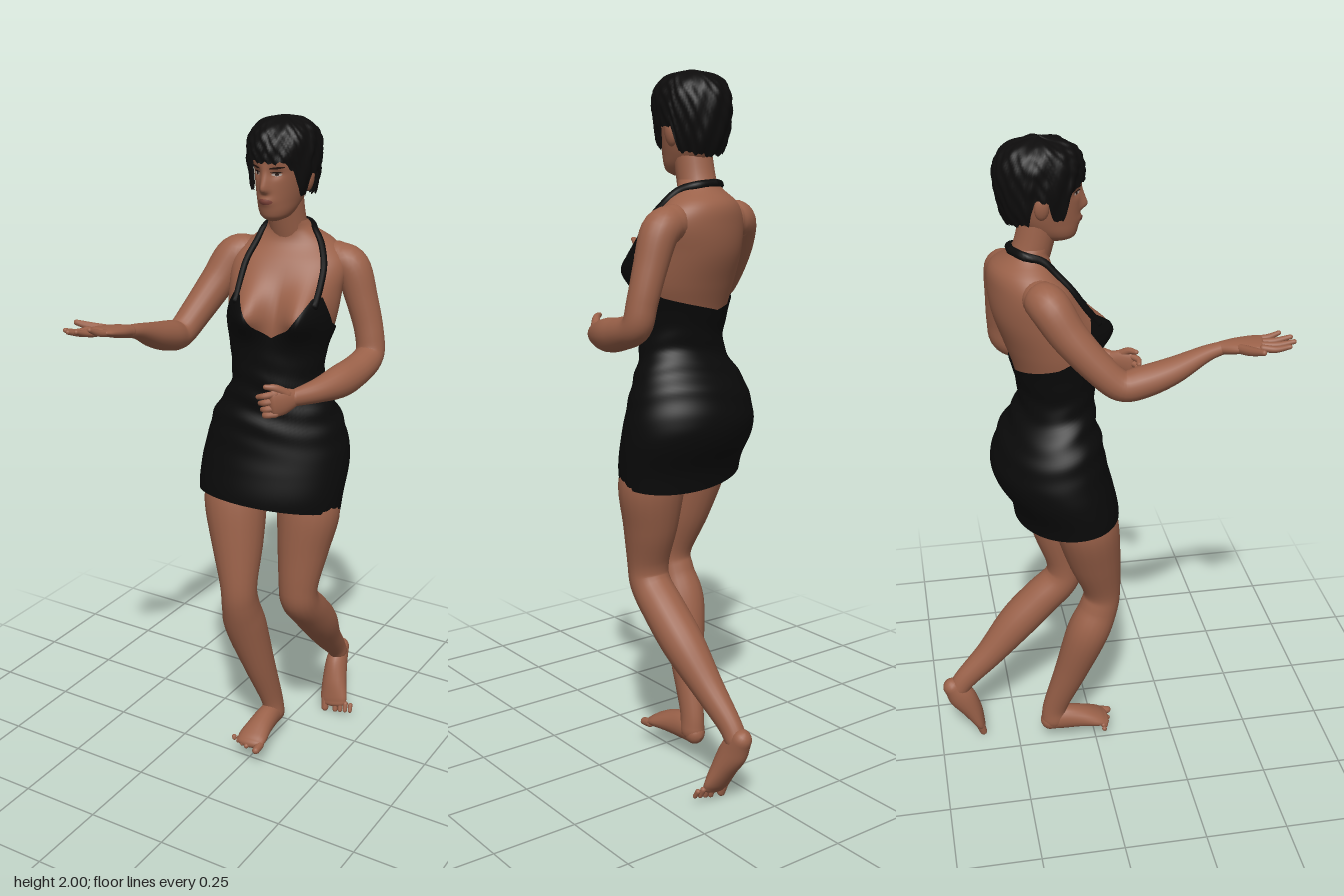
import * as THREE from 'three';

const mat = (name, color, side = THREE.FrontSide) => {
  const m = new THREE.MeshStandardMaterial({ color, side });
  m.name = name;
  return m;
};

// Smooth interpolation of table rows; column 0 is the key.
function sample(rows, t) {
  const n = rows.length;
  let i = 0;
  while (i < n - 2 && t > rows[i + 1][0]) i++;
  const p = rows[i], q = rows[i + 1], h = q[0] - p[0];
  const s = THREE.MathUtils.clamp((t - p[0]) / h, 0, 1);
  const slope = (k, c) => {
    const a = rows[Math.max(k - 1, 0)], b = rows[Math.min(k + 1, n - 1)];
    return (b[c] - a[c]) / (b[0] - a[0]);
  };
  return p.map((_, c) =>
    (2 * s ** 3 - 3 * s * s + 1) * p[c] + (s ** 3 - 2 * s * s + s) * h * slope(i, c) +
    (3 * s * s - 2 * s ** 3) * q[c] + (s ** 3 - s * s) * h * slope(i + 1, c));
}

// Straight-line interpolation of [key, value] pairs.
function line(pairs, t) {
  let i = 0;
  while (i < pairs.length - 2 && t > pairs[i + 1][0]) i++;
  const [a, b] = [pairs[i], pairs[i + 1]];
  return a[1] + (b[1] - a[1]) * THREE.MathUtils.clamp((t - a[0]) / (b[0] - a[0]), 0, 1);
}

// Closed-around surface: fn(angle, v) gives a point.
function loft(fn, around, along) {
  const pos = [], idx = [];
  for (let i = 0; i <= along; i++) {
    for (let j = 0; j < around; j++) {
      const p = fn((j / around) * Math.PI * 2, i / along);
      pos.push(p.x, p.y, p.z);
      if (i === along) continue;
      const a = i * around + j, b = i * around + (j + 1) % around;
      idx.push(a, b, b + around, a, b + around, a + around);
    }
  }
  const g = new THREE.BufferGeometry();
  g.setAttribute('position', new THREE.Float32BufferAttribute(pos, 3));
  g.setIndex(idx);
  g.computeVertexNormals();
  return g;
}

// Round-ended limb through [x, y, z, halfWidth, halfDepth]; ref is the width direction.
function limb(points, ref = [1, 0, 0], around = 20, steps = 6) {
  const rows = points.map((p, i) => [i, p[0], p[1], p[2], p[3], p[4] ?? p[3]]);
  const last = rows.length - 1, body = last * steps, cap = 5, total = body + 2 * cap;
  const R = new THREE.Vector3(...ref);
  const at = t => { const s = sample(rows, t); return new THREE.Vector3(s[1], s[2], s[3]); };
  return loft((ang, v) => {
    const k = Math.round(v * total) - cap;
    const t = THREE.MathUtils.clamp(k / steps, 0, last);
    const over = k < 0 ? k / cap : k > body ? (k - body) / cap : 0;
    const s = sample(rows, t);
    const T = at(Math.min(t + 0.05, last)).sub(at(Math.max(t - 0.05, 0))).normalize();
    const U = R.clone().addScaledVector(T, -R.dot(T)).normalize();
    const V = T.clone().cross(U);
    const shrink = Math.cos(over * Math.PI / 2);
    return at(t).addScaledVector(T, Math.sin(over * Math.PI / 2) * Math.min(s[4], s[5]))
      .addScaledVector(U, Math.cos(ang) * s[4] * shrink)
      .addScaledVector(V, Math.sin(ang) * s[5] * shrink);
  }, around, total);
}

// Point on a body section: rows are [y, cx, cz, halfWidth, front, back].
function section(rows, ang, y, yaw = 0, bump = () => 0, grow = 0) {
  const [, cx, cz, rx, f, b] = sample(rows, y);
  const c = Math.cos(ang), lx = (rx + grow) * Math.sin(ang);
  const lz = ((c > 0 ? f : b) + grow) * c + (c > 0 ? bump(lx, y) * Math.min(1, c * 2) : 0);
  return new THREE.Vector3(cx + lx * Math.cos(yaw) + lz * Math.sin(yaw), y,
    cz - lx * Math.sin(yaw) + lz * Math.cos(yaw));
}

const TORSO = [
  [0.84, 0.02, -0.085, 0.205, 0.125, 0.135], [0.92, 0.02, -0.09, 0.213, 0.135, 0.145],
  [1.0, 0.02, -0.115, 0.216, 0.145, 0.165], [1.06, 0.022, -0.125, 0.208, 0.14, 0.168],
  [1.15, 0.022, -0.125, 0.183, 0.125, 0.14], [1.2, 0.027, -0.12, 0.155, 0.108, 0.112],
  [1.26, 0.03, -0.11, 0.13, 0.098, 0.098], [1.35, 0.028, -0.115, 0.136, 0.1, 0.108],
  [1.43, 0.032, -0.125, 0.155, 0.105, 0.125], [1.52, 0.034, -0.14, 0.163, 0.095, 0.14],
  [1.6, 0.035, -0.165, 0.162, 0.08, 0.122], [1.65, 0.03, -0.19, 0.12, 0.07, 0.088],
  [1.685, 0.025, -0.185, 0.07, 0.06, 0.055], [1.71, 0.023, -0.17, 0.055, 0.055, 0.05]];
const HEAD = [
  [1.718, 0.024, -0.1, 0.012, 0.025, 0.03], [1.728, 0.024, -0.1, 0.034, 0.045, 0.06],
  [1.745, 0.024, -0.11, 0.047, 0.064, 0.075], [1.775, 0.024, -0.13, 0.057, 0.09, 0.08],
  [1.81, 0.024, -0.14, 0.065, 0.102, 0.09], [1.85, 0.024, -0.145, 0.072, 0.107, 0.1],
  [1.9, 0.024, -0.145, 0.076, 0.112, 0.105], [1.95, 0.024, -0.145, 0.066, 0.09, 0.088],
  [1.98, 0.024, -0.145, 0.02, 0.03, 0.03]];
const HAIR = [
  [1.76, 0.025, -0.145, 0.074, 0.09, 0.085], [1.82, 0.025, -0.145, 0.09, 0.108, 0.11],
  [1.9, 0.025, -0.145, 0.098, 0.121, 0.121], [1.95, 0.025, -0.145, 0.09, 0.108, 0.108],
  [1.982, 0.025, -0.145, 0.06, 0.07, 0.07], [1.997, 0.025, -0.145, 0.003, 0.003, 0.003]];
const YAW = 0.27;

const bust = (x, y) => 0.068 * Math.exp(-(((Math.abs(x) - 0.08) / 0.05) ** 2) -
  ((y - 1.465) / (y > 1.465 ? 0.075 : 0.055)) ** 2);
const nose = (x, y) => {
  const h = line([[1.795, 0], [1.808, 1], [1.818, 1], [1.86, 0.25], [1.88, 0]], y);
  const mouth = 0.006 * Math.exp(-((x / 0.022) ** 2) - ((y - 1.777) / 0.012) ** 2);
  const sockets = 0.007 * Math.exp(-(((Math.abs(x) - 0.03) / 0.014) ** 2) - ((y - 1.852) / 0.012) ** 2);
  return 0.02 * h * Math.exp(-((x / 0.012) ** 2)) + mouth - sockets;
};

export function createModel() {
  const skin = mat('skin', 0x9a6149), dressMat = mat('black fabric', 0x0a0a0a, THREE.DoubleSide);
  const hairMat = mat('dark hair', 0x0d0c0c, THREE.DoubleSide), lipMat = mat('lips', 0x7c4238);
  const eyeMat = mat('eye white', 0xb0a098), browMat = mat('brow brown', 0x2a1a14);
  const model = new THREE.Group();
  model.name = 'woman';
  const add = (name, geo, m = skin) => {
    const mesh = new THREE.Mesh(geo, m);
    mesh.name = name;
    model.add(mesh);
  };
  // Angle from the front, 0 to pi on either side
  const away = a => Math.min(a, Math.PI * 2 - a);

  // Torso and neck
  add('torso', loft((a, v) => section(TORSO, a, 1.2 + 0.51 * v, YAW, bust), 80, 50));
  add('neck', limb([[0.028, 1.62, -0.2, 0.06], [0.024, 1.7, -0.168, 0.054, 0.053], [0.024, 1.79, -0.145, 0.052, 0.055]]));

  // Halter dress, from slanted hem to shaped neckline
  const neckline = [[0, 1.405], [0.3, 1.435], [0.68, 1.525], [0.85, 1.52], [1.25, 1.44], [1.9, 1.4], [Math.PI, 1.36]];
  add('dress', loft((a, v) => {
    const hem = 0.885 - 0.018 * Math.sin(a) + 0.018 * Math.cos(a);
    const y = hem + (line(neckline, away(a)) - hem) * v;
    const fold = 0.003 * Math.sin(y * 90 + 2 * Math.sin(a * 2)) * Math.exp(-(((y - 1.2) / 0.1) ** 2));
    return section(TORSO, a, y, YAW, bust, 0.006 + fold);
  }, 96, 60), dressMat);
  for (const s of [1, -1]) {
    const path = [[0.76, 1.5], [0.75, 1.55], [0.74, 1.6], [0.85, 1.65], [1.3, 1.682], [2.2, 1.697], [3.14, 1.702]];
    add(s > 0 ? 'leftStrap' : 'rightStrap', limb(path.map(([a, y]) =>
      [...section(TORSO, s * a, y, YAW, bust, 0.003).toArray(), 0.012, 0.009]), [0, 0.6, 0.8], 10), dressMat);
  }

  // Head, ears and face
  add('head', loft((a, v) => section(HEAD, a, 1.718 + 0.262 * v, 0, nose), 96, 60));
  const patch = (name, x, y, w, h, m, lift = 0.002, tilt = 0) => add(name, loft((a, v) => {
    const dx = x + Math.cos(a) * w * (1 - v), py = y + Math.sin(a) * h * (1 - v) + tilt * (dx - x);
    const p = section(HEAD, Math.asin(dx / sample(HEAD, py)[3]), py, 0, nose);
    p.z += lift;
    return p;
  }, 20, 5), m);
  patch('lips', 0, 1.777, 0.022, 0.008, lipMat);
  for (const s of [1, -1]) {
    patch('eye', s * 0.03, 1.851, 0.012, 0.0045, eyeMat);
    patch('iris', s * 0.03, 1.851, 0.0045, 0.0042, browMat, 0.003);
    patch('eyelid', s * 0.03, 1.8565, 0.014, 0.002, browMat, 0.003);
    patch('eyebrow', s * 0.032, 1.869, 0.018, 0.003, browMat, 0.002, s * 0.1);
    const ear = new THREE.SphereGeometry(1, 14, 10);
    ear.scale(0.012, 0.032, 0.02).rotateZ(-s * 0.15).translate(0.024 + s * 0.076, 1.828, -0.15);
    add('ear', ear);
  }

  // Cropped hair with fringe, sideburns and ruffled surface
  const hairline = [[0, 1.882], [0.6, 1.884], [0.85, 1.86], [1.05, 1.795], [1.32, 1.79], [1.48, 1.85],
    [1.78, 1.85], [1.98, 1.785], [Math.PI, 1.77]];
  add('hair', loft((a, v) => {
    const low = line(hairline, away(a)) + 0.006 * Math.sin(a * 23) * Math.sin(a * 9 + 1);
    const y = low + (1.997 - low) * Math.sin(v * Math.PI / 2);
    const ruffle = 0.004 * Math.sin(a * 17 + v * 9) * Math.sin(v * 21 + a * 5) * (1 - v ** 4);
    const p = section(HAIR, a, y, 0, undefined, ruffle);
    p.y += 0.007 * Math.sin(a * 6 + v * 5) * v * (1 - v) * 2;
    return p;
  }, 120, 36), hairMat);

  // Arms
  add('rightArm', limb([[-0.09, 1.6, -0.165, 0.05], [-0.135, 1.59, -0.145, 0.056], [-0.168, 1.52, -0.1, 0.051],
    [-0.198, 1.44, -0.03, 0.045], [-0.214, 1.39, 0.03, 0.042], [-0.215, 1.397, 0.09, 0.046, 0.043],
    [-0.209, 1.42, 0.17, 0.041, 0.036], [-0.196, 1.455, 0.26, 0.026, 0.022], [-0.192, 1.468, 0.31, 0.02, 0.017]]));
  add('leftArm', limb([[0.15, 1.6, -0.225, 0.05], [0.197, 1.578, -0.232, 0.052], [0.23, 1.49, -0.235, 0.046],
    [0.256, 1.4, -0.235, 0.042], [0.266, 1.335, -0.222, 0.042], [0.262, 1.308, -0.15, 0.045],
    [0.25, 1.295, -0.07, 0.044, 0.047], [0.225, 1.287, 0.01, 0.034, 0.034], [0.188, 1.28, 0.08, 0.02, 0.024]]));

  // Right hand, palm up
  add('rightPalm', limb([[-0.192, 1.468, 0.305, 0.021, 0.017], [-0.203, 1.475, 0.34, 0.034, 0.018],
    [-0.216, 1.483, 0.38, 0.043, 0.014], [-0.222, 1.487, 0.4, 0.04, 0.011]]));
  [[-0.254, -0.28, 0.465], [-0.234, -0.257, 0.483], [-0.213, -0.232, 0.48], [-0.194, -0.208, 0.455]].forEach(([x0, x1, z], i) =>
    add('rightFinger', limb([[x0, 1.486, 0.4, 0.01], [(x0 + x1) / 2, 1.486 + i * 0.002, (z + 0.4) / 2, 0.009],
      [x1, 1.497 + i * 0.003, z, 0.0065]], [1, 0, 0], 10)));
  add('rightThumb', limb([[-0.215, 1.475, 0.34, 0.014], [-0.26, 1.483, 0.365, 0.013], [-0.303, 1.496, 0.388, 0.008]], [0, 1, 0], 10));

  // Left hand, held in front of the waist
  add('leftPalm', limb([[0.19, 1.28, 0.075, 0.024, 0.019], [0.172, 1.276, 0.105, 0.038, 0.018],
    [0.155, 1.272, 0.13, 0.04, 0.014]], [0, 1, 0]));
  [1.3, 1.28, 1.26, 1.242].forEach((y, i) =>
    add('leftFinger', limb([[0.158, y, 0.128, 0.01], [0.135, y - 0.004, 0.149 - i * 0.003, 0.009],
      [0.115 + i * 0.002, y - 0.01, 0.148 - i * 0.008, 0.007]], [0, 1, 0], 10)));
  add('leftThumb', limb([[0.178, 1.295, 0.1, 0.014], [0.158, 1.315, 0.125, 0.011], [0.135, 1.32, 0.143, 0.007]], [1, 0, 0.4], 10));

  // Standing right leg
  add('rightLeg', limb([[-0.08, 0.96, -0.06, 0.08, 0.08], [-0.073, 0.88, -0.04, 0.095, 0.093], [-0.052, 0.75, -0.015, 0.079, 0.08],
    [-0.032, 0.62, 0.012, 0.057, 0.057], [-0.032, 0.55, 0.002, 0.057, 0.059], [-0.035, 0.46, -0.033, 0.065, 0.065],
    [-0.014, 0.3, -0.083, 0.048, 0.052], [0.004, 0.16, -0.13, 0.033, 0.04], [0.008, 0.1, -0.138, 0.034, 0.04]]));
  add('rightFoot', limb([[0.008, 0.092, -0.15, 0.03, 0.033], [0.008, 0.1, -0.11, 0.034, 0.042], [0.01, 0.094, -0.05, 0.04, 0.035],
    [0.013, 0.083, 0.0, 0.047, 0.024], [0.016, 0.075, 0.025, 0.045, 0.016]]));

  // Trailing left leg with lifted heel
  add('leftLeg', limb([[0.125, 0.96, -0.12, 0.08, 0.08], [0.137, 0.87, -0.112, 0.096, 0.09], [0.13, 0.75, -0.097, 0.08, 0.078],
    [0.125, 0.63, -0.078, 0.062, 0.057], [0.124, 0.565, -0.09, 0.06, 0.057], [0.122, 0.5, -0.155, 0.062, 0.06],
    [0.115, 0.42, -0.235, 0.06, 0.06], [0.1, 0.32, -0.325, 0.044, 0.046], [0.09, 0.24, -0.405, 0.032, 0.037],
    [0.088, 0.2, -0.435, 0.03, 0.033]]));
  add('leftFoot', limb([[0.086, 0.208, -0.455, 0.029, 0.03], [0.088, 0.165, -0.427, 0.035, 0.043], [0.096, 0.11, -0.398, 0.041, 0.034],
    [0.105, 0.06, -0.378, 0.047, 0.022], [0.109, 0.04, -0.37, 0.044, 0.015]]));

  // Toes, biggest on the inner side
  for (let i = 0; i < 5; i++) {
    const r = i ? 0.0105 - i * 0.0007 : 0.014, o = i ? 0.012 - i * 0.0185 : 0.032;
    add('rightToe', limb([[0.016 + o, 0.073, 0.02, r], [0.018 + o, 0.069, 0.046 - i * 0.006, r * 0.85]], [1, 0, 0], 10));
    add('leftToe', limb([[0.109 - o, 0.045, -0.372, r], [0.112 - o, 0.013 + i * 0.004, -0.363, r * 0.85]], [1, 0, 0], 10));
  }
  return model;
}
